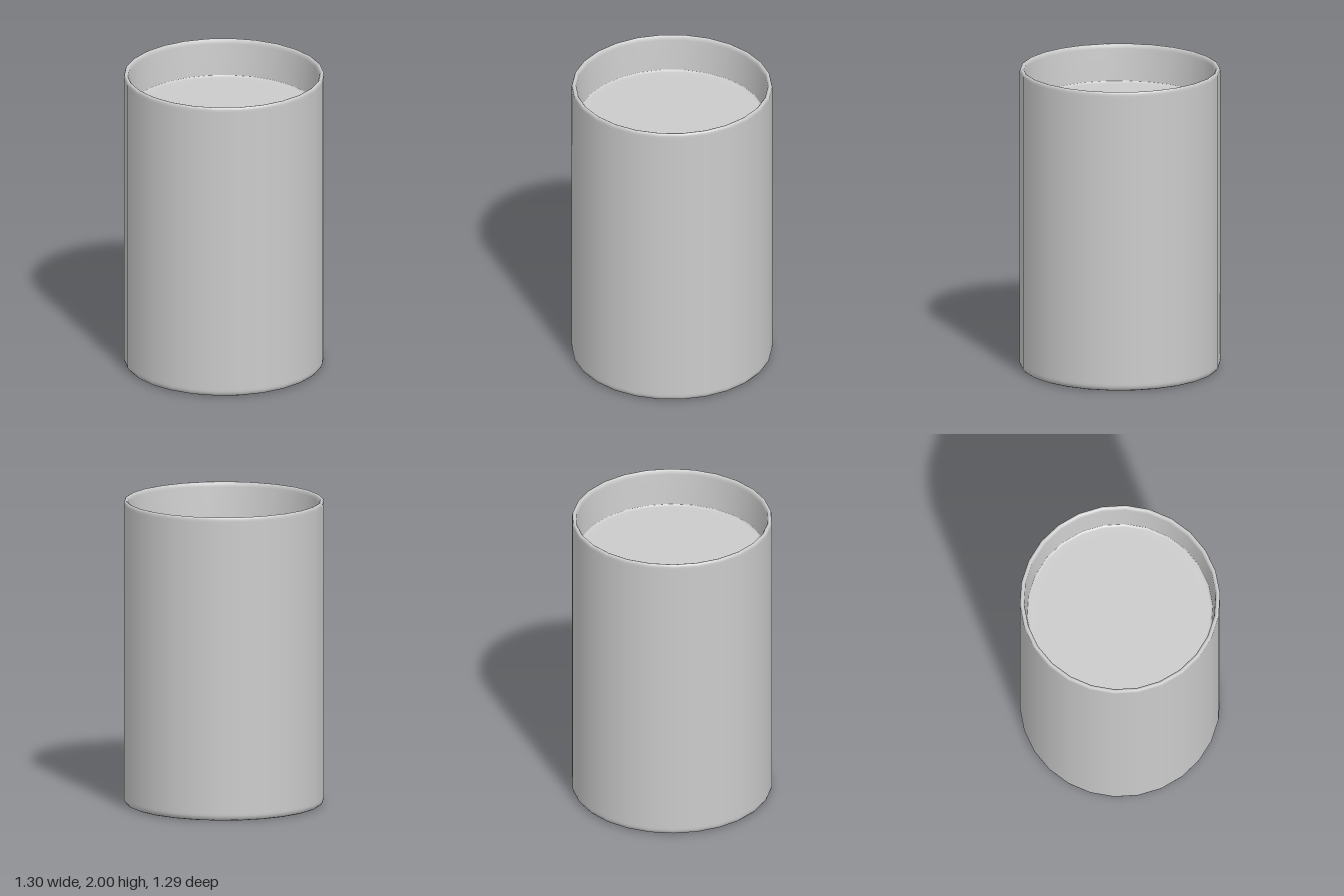
import * as THREE from 'three';

const SIDES = 26;
const material = new THREE.MeshStandardMaterial({ color: 0xcccccc });

// Revolve a profile, with a corner of the polygon on the x axis
function revolve(name, profile) {
  const points = profile.map(([r, y]) => new THREE.Vector2(r, y));
  const mesh = new THREE.Mesh(new THREE.LatheGeometry(points, SIDES, Math.PI / 2), material);
  mesh.name = name;
  return mesh;
}

export function createModel() {
  const group = new THREE.Group();
  group.name = 'cup';

  // Underside, rounded foot, outer wall, rounded rim and tapered inner wall
  group.add(revolve('cupWall', [
    [0, 0], [0.61, 0], [0.62, 0],
    [0.637, 0.007], [0.647, 0.02], [0.65, 0.035], [0.65, 0.05],
    [0.65, 1.97], [0.65, 1.985], [0.646, 1.996], [0.638, 2],
    [0.63, 1.998], [0.622, 1.988], [0.62, 1.97],
    [0.604, 1.78], [0.602, 1.74],
  ]));

  // Recessed surface inside, with a slightly softened edge
  group.add(revolve('innerSurface', [
    [0.603, 1.76], [0.598, 1.752], [0.585, 1.75], [0.54, 1.75], [0, 1.75],
  ]));

  return group;
}
